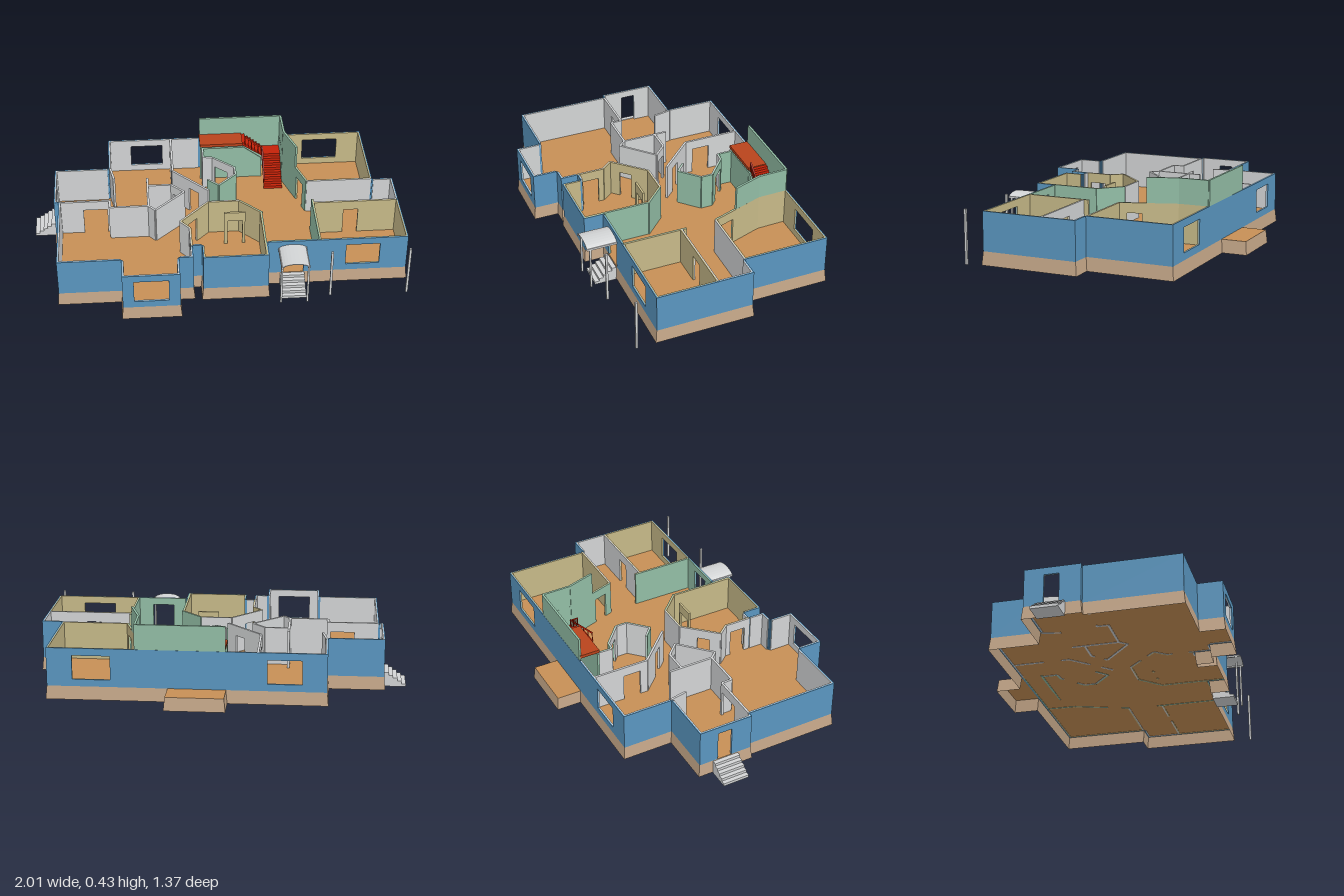
import * as THREE from 'three';

const mat = (name, color, side = THREE.FrontSide) => {
  const m = new THREE.MeshStandardMaterial({ color, side });
  m.name = name;
  return m;
};

export function createModel() {
  const house = new THREE.Group();
  house.name = 'house';
  const D = THREE.DoubleSide;
  const blue = mat('blue siding', 0x5a96c0);
  const tan = mat('tan foundation', 0xc4a688, D);
  const wood = mat('wood floor', 0xc68f55, D);
  const grey = mat('pale grey', 0xd2d4d5);
  const beige = mat('beige plaster', 0xc6b988);
  const green = mat('green plaster', 0x92bda5);
  const red = mat('red stair', 0xc42208);
  const rust = mat('rust landing', 0xb8431c);

  const T = 0.012, BASE = 0.08, TOP = 0.29, DOOR = 0.235;

  function add(name, geo, material, parent = house) {
    const m = new THREE.Mesh(geo, material);
    m.name = name;
    parent.add(m);
    return m;
  }
  function box(name, x0, x1, y0, y1, z0, z1, material, parent) {
    const m = add(name, new THREE.BoxGeometry(x1 - x0, y1 - y0, z1 - z0), material, parent);
    m.position.set((x0 + x1) / 2, (y0 + y1) / 2, (z0 + z1) / 2);
    return m;
  }

  // Two-sided wall from a to b; holes are [start, end, bottom, top] along its length
  function wall(name, a, b, outer, inner, { holes = [], y0 = BASE, y1 = TOP, shift = 0, trim = 0 } = {}) {
    const g = new THREE.Group();
    g.name = name;
    const dx = b[0] - a[0], dz = b[1] - a[1], len = Math.hypot(dx, dz);
    g.position.set(a[0], 0, a[1]);
    g.rotation.y = -Math.atan2(dz, dx);
    house.add(g);
    for (const [m, z, cut] of [[outer, shift, 0], [inner, shift - T / 2, trim]]) {
      const piece = (u0, u1, lo, hi) => {
        u0 = Math.max(u0, cut);
        u1 = Math.min(u1, len - cut);
        if (u1 - u0 > 1e-4 && hi - lo > 1e-4) box(name + 'Panel', u0, u1, lo, hi, z, z + T / 2, m, g);
      };
      let u = 0;
      for (const [h0, h1, lo, hi] of holes) {
        piece(u, h0, y0, y1);
        piece(h0, h1, y0, lo);
        piece(h0, h1, hi, y1);
        u = h1;
      }
      piece(u, len, y0, y1);
    }
  }

  // Outer walls, counterclockwise: x, z, inside colour, holes
  const plan = [
    [-0.855, 0.545, grey], [-0.52, 0.545, grey], [-0.52, 0.68, grey, [[0.06, 0.24, 0.12, 0.25]]],
    [-0.22, 0.68, grey], [-0.22, 0.545, grey], [-0.145, 0.545, grey], [-0.145, 0.45, grey],
    [-0.095, 0.45, beige], [-0.095, 0.555, beige], [0.25, 0.555, beige],
    [0.25, 0.45, green, [[0.075, 0.195, BASE, 0.25]]], [0.53, 0.45, beige, [[0.14, 0.32, 0.12, 0.25]]],
    [0.998, 0.45, beige], [0.998, 0.12, grey], [0.998, -0.075, grey], [0.885, -0.075, beige],
    [0.885, -0.545, beige, [[0.135, 0.335, 0.12, 0.25]]], [0.42, -0.545, green],
    [-0.055, -0.545, grey, [[0.215, 0.395, 0.12, 0.25]]], [-0.58, -0.545, grey], [-0.58, -0.27, grey],
    [-0.88, -0.27, grey, [[0.105, 0.185, BASE, 0.25]]], [-0.88, 0.03, grey], [-0.855, 0.03, grey],
  ];
  plan.forEach((p, i) => wall('outerWall', p, plan[(i + 1) % plan.length], blue, p[2],
    { holes: p[3], shift: -T / 2, trim: T / 2 }));

  // Floor and flared foundation skirt, including the back porch
  const base = plan.map(p => [p[0], p[1]]);
  base.splice(18, 0, [0.25, -0.545], [0.25, -0.68], [-0.055, -0.68]);
  const floor = new THREE.ShapeGeometry(new THREE.Shape(base.map(p => new THREE.Vector2(p[0], -p[1]))));
  floor.rotateX(-Math.PI / 2).translate(0, BASE + 0.002, 0);
  add('floor', floor, wood);

  const n = base.length;
  const normal = i => {
    const a = base[(i + n) % n], b = base[(i + 1) % n];
    return [-Math.sign(b[1] - a[1]), Math.sign(b[0] - a[0])];
  };
  const foot = base.map((p, i) => {
    const m = normal(i - 1), k = normal(i);
    return [p[0] + Math.sign(m[0] + k[0]) * 0.007, p[1] + Math.sign(m[1] + k[1]) * 0.007];
  });
  const pos = [];
  for (let i = 0; i < n; i++) {
    const j = (i + 1) % n;
    const a = [foot[i][0], 0.01, foot[i][1]], b = [foot[j][0], 0.01, foot[j][1]];
    const c = [base[j][0], BASE + 0.002, base[j][1]], d = [base[i][0], BASE + 0.002, base[i][1]];
    pos.push(...a, ...b, ...c, ...a, ...c, ...d);
  }
  const skirt = new THREE.BufferGeometry();
  skirt.setAttribute('position', new THREE.Float32BufferAttribute(pos, 3));
  skirt.computeVertexNormals();
  add('foundation', skirt, tan);

  // Partitions: start, end, colour on the right-hand side, colour on the other, door [from, to]
  const partitions = [
    // left rooms
    [[-0.22, -0.537], [-0.22, -0.225], grey, grey, [0.17, 0.27]],
    [[-0.22, -0.225], [-0.03, -0.03], grey, grey, [0.13, 0.2]],
    [[-0.365, -0.165], [-0.365, 0.09], grey, grey],
    [[-0.365, -0.095], [-0.235, -0.095], grey, grey],
    [[-0.235, -0.095], [-0.165, -0.025], grey, grey, [0.02, 0.08]],
    [[-0.33, 0.13], [-0.165, -0.025], grey, grey],
    [[-0.365, 0.09], [-0.33, 0.13], grey, grey],
    [[-0.575, 0.09], [-0.365, 0.09], grey, grey],
    [[-0.85, 0.03], [-0.575, 0.03], grey, grey, [0.13, 0.26]],
    [[-0.575, 0.03], [-0.575, 0.09], grey, grey],
    [[-0.57, -0.27], [-0.55, -0.17], grey, grey],
    // front middle room
    [[-0.04, 0.075], [0.13, 0.075], beige, grey],
    [[0.13, 0.075], [0.245, 0.19], beige, green],
    [[0.24, 0.19], [0.24, 0.55], beige, green],
    [[0.04, 0.18], [0.155, 0.18], beige, beige, [0.02, 0.1]],
    [[-0.2, 0.24], [-0.04, 0.075], beige, grey, [0.06, 0.13]],
    [[-0.15, 0.3], [-0.2, 0.24], beige, grey],
    [[-0.15, 0.45], [-0.15, 0.3], beige, grey, [0.03, 0.12]],
    // central room
    [[-0.04, -0.43], [-0.04, -0.345], grey, green],
    [[-0.04, -0.345], [0.01, -0.34], grey, green],
    [[0.01, -0.34], [0.13, -0.235], grey, green, [0.02, 0.11]],
    [[0.13, -0.235], [0.13, -0.17], grey, green],
    [[0.13, -0.17], [0.03, -0.075], grey, green],
    [[0.03, -0.075], [-0.03, -0.13], grey, green],
    // back right room
    [[0.415, -0.537], [0.42, -0.375], green, beige],
    [[0.42, -0.375], [0.52, -0.08], green, beige, [0.19, 0.27]],
    [[0.52, -0.08], [0.88, -0.08], grey, beige],
    // front right room
    [[0.53, 0.442], [0.53, 0.09], beige, green],
    [[0.53, 0.12], [0.99, 0.12], beige, grey, [0.17, 0.25]],
    // under the upper landing
    [[-0.055, -0.432], [0.19, -0.432], green, green],
  ];
  for (const [a, b, m, k, door] of partitions)
    wall('partition', a, b, m, k, { holes: door ? [[...door, BASE, DOOR]] : [], shift: 0 });

  // Tall stairwell wall
  const well = [[0.417, -0.538], [-0.052, -0.538]];
  wall('stairwellWall', ...well, green, green, { y0: TOP, y1: 0.425 });
  wall('stairwellWall', [0.417, -0.538], [0.42, -0.375], green, green, { y0: TOP, y1: 0.425 });
  wall('stairwellWall', [0.42, -0.375], [0.474, -0.215], green, green, { y0: TOP, y1: 0.425 });

  // Stair flight climbing along +x, extruded along z; open ones have a sloping underside
  function flight(name, steps, run, rise, width, material, solid) {
    const s = new THREE.Shape();
    s.moveTo(0, 0);
    for (let i = 0; i < steps; i++) {
      s.lineTo(run * i / steps, rise * (i + 1) / steps);
      s.lineTo(run * (i + 1) / steps, rise * (i + 1) / steps);
    }
    s.lineTo(run, solid ? 0 : rise - rise / steps);
    s.closePath();
    return add(name, new THREE.ExtrudeGeometry(s, { depth: width, bevelEnabled: false }), material);
  }
  const front = flight('frontSteps', 5, 0.12, 0.078, 0.13, grey, true);
  front.rotation.y = Math.PI / 2;
  front.position.set(0.32, 0.004, 0.575);
  const side = flight('sideSteps', 5, 0.115, 0.078, 0.145, grey, true);
  side.position.set(-1, 0.004, -0.195);

  // Red indoor stair with a turn
  const lower = flight('lowerFlight', 8, 0.17, 0.14, 0.105, red, false);
  lower.rotation.y = Math.PI / 2;
  lower.position.set(0.305, BASE + 0.002, -0.3);
  box('turnLanding', 0.3, 0.412, 0.208, 0.222, -0.537, -0.47, red);
  const upper = flight('upperFlight', 6, 0.11, 0.09, 0.1, red, false);
  upper.rotation.y = Math.PI;
  upper.position.set(0.3, 0.222, -0.437);
  box('upperLanding', -0.055, 0.19, 0.3, 0.318, -0.537, -0.425, rust);
  const skirtShape = new THREE.Shape([[0.19, BASE], [0.3, BASE], [0.3, 0.21], [0.19, 0.295]]
    .map(p => new THREE.Vector2(...p)));
  add('stairSideWall', new THREE.ExtrudeGeometry(skirtShape, { depth: 0.008, bevelEnabled: false }), green)
    .position.z = -0.435;

  // Stair railings
  function rail(a, b, drop) {
    const p = new THREE.Vector3(...a), q = new THREE.Vector3(...b);
    const bar = add('handrail', new THREE.BoxGeometry(0.008, 0.008, p.distanceTo(q)), red);
    bar.position.copy(p).add(q).multiplyScalar(0.5);
    bar.lookAt(q);
    for (let i = 0; i <= 5; i++) {
      const c = p.clone().lerp(q, i / 5);
      box('baluster', c.x - 0.002, c.x + 0.002, c.y - drop, c.y, c.z - 0.002, c.z + 0.002, red);
    }
  }
  rail([0.3, 0.285, -0.43], [0.205, 0.362, -0.43], 0.06);
  rail([0.305, 0.15, -0.3], [0.305, 0.285, -0.43], 0.06);

  // Entrance canopy: shallow arch on two thin posts
  const arch = new THREE.Shape();
  const arc = (r, i) => {
    const t = Math.PI * (1 - i / 12);
    return [r * Math.cos(t), r * 0.38 * Math.sin(t)];
  };
  for (let i = 0; i <= 12; i++) arch[i ? 'lineTo' : 'moveTo'](...arc(0.076, i));
  for (let i = 12; i >= 0; i--) arch.lineTo(...arc(0.068, i));
  const canopy = add('canopy', new THREE.ExtrudeGeometry(arch, { depth: 0.165, bevelEnabled: false }), grey);
  canopy.position.set(0.383, 0.24, 0.45);
  for (const x of [0.313, 0.453]) {
    box('canopyPost', x - 0.005, x + 0.005, 0, 0.245, 0.592, 0.602, grey);
    box('canopyBeam', x - 0.005, x + 0.005, 0.24, 0.25, 0.45, 0.615, grey);
  }

  // Free-standing porch posts
  for (const x of [0.58, 0.99]) box('porchPost', x - 0.006, x + 0.006, 0, TOP, 0.549, 0.561, grey);

  return house;
}
